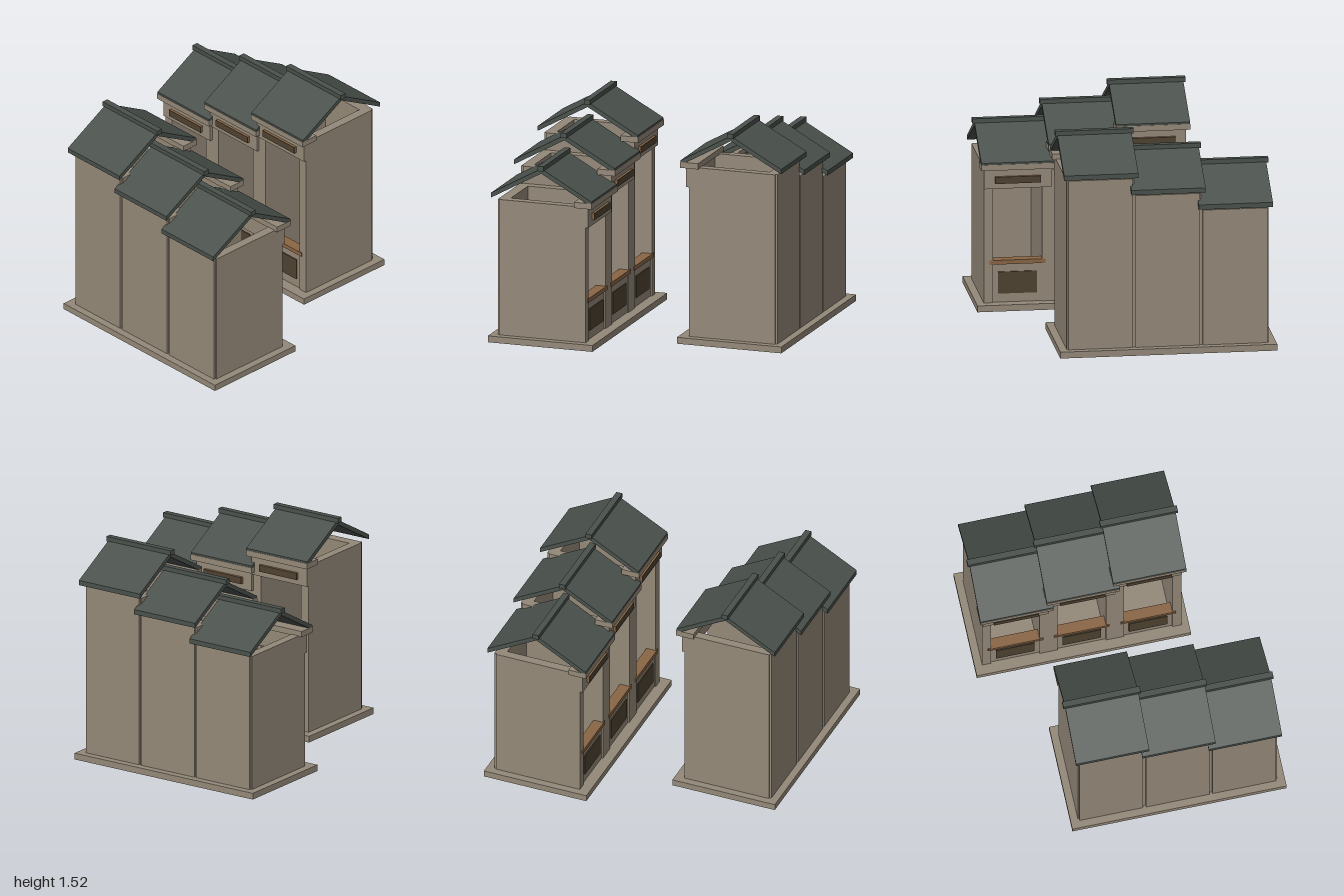
import * as THREE from 'three';

const mat = (name, color) => {
  const m = new THREE.MeshStandardMaterial({ color });
  m.name = name;
  return m;
};

export function createModel() {
  const stone = mat('tan stone', 0x948979);
  const slate = mat('slate roof', 0x4a514c);
  const wood = mat('brown wood', 0x8a6545);
  const dark = mat('dark wood', 0x4f4230);

  // Box given by its limits on each axis
  const box = (parent, name, material, x0, x1, y0, y1, z0, z1) => {
    const mesh = new THREE.Mesh(new THREE.BoxGeometry(x1 - x0, y1 - y0, z1 - z0), material);
    mesh.position.set((x0 + x1) / 2, (y0 + y1) / 2, (z0 + z1) / 2);
    mesh.name = name;
    parent.add(mesh);
  };

  const FLOOR = 0.045, FRONT = -0.305, BACK = -0.933, RIDGE = -0.62;

  // Folded roof, extruded along the ridge
  const roofPanels = (w, h) => {
    const s = new THREE.Shape();
    const run = 0.367;
    [[-run, 0.015], [0, 0.218], [run, 0.015], [run, 0.049], [0, 0.253], [-run, 0.049]]
      .forEach(([x, y], i) => (i ? s.lineTo(x, y) : s.moveTo(x, y)));
    const geo = new THREE.ExtrudeGeometry(s, { depth: w, bevelEnabled: false });
    geo.translate(0, 0, -w / 2).rotateY(Math.PI / 2);
    const mesh = new THREE.Mesh(geo, slate);
    mesh.position.set(0, h, RIDGE);
    mesh.name = 'roofPanels';
    return mesh;
  };

  // One open-fronted house, facing +z; h is the wall height
  const house = (x, h) => {
    const g = new THREE.Group();
    g.name = 'house';
    g.position.x = x;
    const W = 0.2335, O = 0.17;

    // Hollow shell
    box(g, 'rightWall', stone, -W, -O, FLOOR, h, BACK, FRONT);
    box(g, 'leftWall', stone, O, W, FLOOR, h, BACK, FRONT);
    box(g, 'backWall', stone, -O, O, FLOOR, h, BACK, BACK + 0.06);
    box(g, 'backPanel', stone, -0.2235, 0.2235, FLOOR, h, BACK - 0.015, BACK);

    // Upper front with sign and cornice
    box(g, 'fascia', stone, -W, W, h - 0.145, h, -0.35, -0.285);
    box(g, 'signBoard', wood, -0.158, 0.158, h - 0.105, h - 0.057, -0.285, -0.27);
    box(g, 'signFace', dark, -0.158, 0.158, h - 0.105, h - 0.057, -0.27, -0.265);
    box(g, 'cornice', stone, -0.258, 0.258, h - 0.005, h + 0.036, -0.38, -0.25);

    // Counter front
    box(g, 'counterWall', stone, -O, O, FLOOR, 0.32, -0.36, -0.315);
    box(g, 'counterPanel', dark, -0.135, 0.135, 0.107, 0.262, -0.315, -0.308);
    box(g, 'counterTop', wood, -0.195, 0.195, 0.318, 0.348, -0.375, -0.298);

    // Roof
    g.add(roofPanels(0.515, h));
    box(g, 'ridgeCap', slate, -0.272, 0.272, h + 0.237, h + 0.272, RIDGE - 0.022, RIDGE + 0.022);
    return g;
  };

  // Stepped row of three houses on a slab
  const row = (name) => {
    const g = new THREE.Group();
    g.name = name;
    box(g, 'slab', stone, -0.957, 0.55, 0, FLOOR, -1, -0.235);
    for (let i = 0; i < 3; i++) g.add(house(-0.67 + i * 0.467, 1.008 + i * 0.121));
    return g;
  };

  // Two rows facing each other across a lane
  const model = new THREE.Group();
  model.name = 'facingHouseRows';
  const frontRow = row('frontRow');
  frontRow.rotation.y = Math.PI;
  model.add(row('backRow'), frontRow);
  return model;
}
